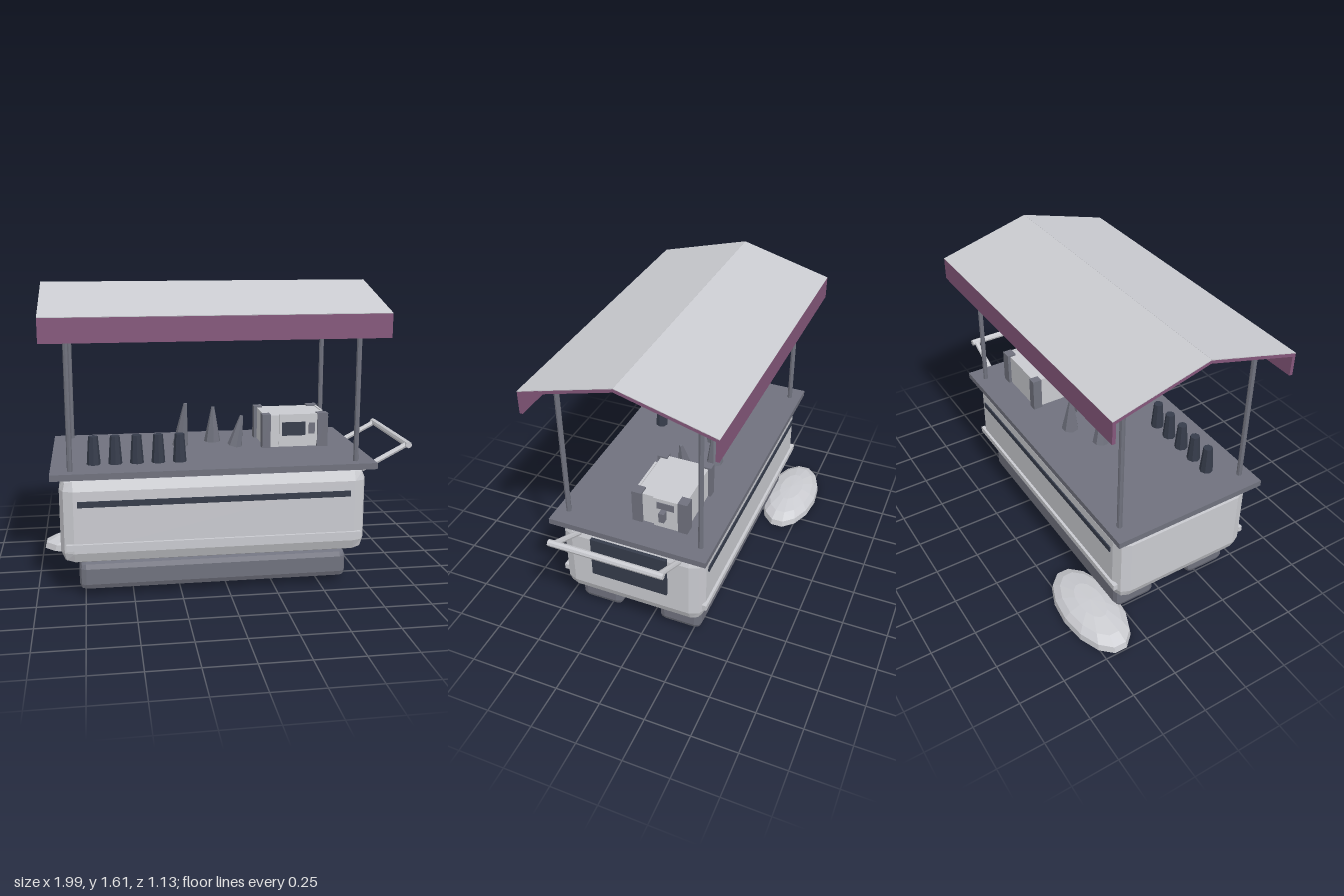
import * as THREE from 'three';
import { RoundedBoxGeometry } from 'three/addons/geometries/RoundedBoxGeometry.js';

const mat = (name, color) => {
  const m = new THREE.MeshStandardMaterial({ color });
  m.name = name;
  return m;
};

export function createModel() {
  const shell = mat('pale grey', 0xcacbd0);
  const slate = mat('slate grey', 0x70727e);
  const navy = mat('dark navy', 0x363c4b);
  const plum = mat('plum', 0x85577b);
  const CX = -0.07, CZ = 0.0575; // centre of the cart

  const root = new THREE.Group();
  root.name = 'marketCart';

  // Faceted mesh
  const add = (name, geo, material, parent = root) => {
    const g = geo.index ? geo.toNonIndexed() : geo;
    g.computeVertexNormals();
    const mesh = new THREE.Mesh(g, material);
    mesh.name = name;
    parent.add(mesh);
    return mesh;
  };
  // Box given by its limits on each axis, optionally bevelled
  const box = (name, material, [x0, x1], [y0, y1], [z0, z1], bevel = 0, parent = root) => {
    const s = [x1 - x0, y1 - y0, z1 - z0];
    const geo = bevel ? new RoundedBoxGeometry(...s, 1, bevel) : new THREE.BoxGeometry(...s);
    const m = add(name, geo, material, parent);
    m.position.set((x0 + x1) / 2, (y0 + y1) / 2, (z0 + z1) / 2);
    return m;
  };
  // Round bar or tapered cone between two points
  const rod = (name, material, a, b, r0, r1 = r0, sides = 8, parent = root) => {
    const p = new THREE.Vector3(...a), q = new THREE.Vector3(...b);
    const d = q.clone().sub(p);
    const m = add(name, new THREE.CylinderGeometry(r1, r0, d.length(), sides), material, parent);
    m.position.copy(p).add(q).multiplyScalar(0.5);
    m.quaternion.setFromUnitVectors(new THREE.Vector3(0, 1, 0), d.normalize());
    return m;
  };

  // Hull, counter and skids
  box('hull', shell, [-0.87, 0.735], [0.188, 0.655], [-0.345, 0.46], 0.07);
  box('counter', slate, [-0.91, 0.77], [0.654, 0.687], [-0.38, 0.495]);
  box('frontSkid', slate, [-0.78, 0.64], [0.035, 0.188], [0.17, 0.415], 0.035);
  box('backSkid', slate, [-0.78, 0.64], [0.035, 0.188], [-0.3, -0.055], 0.035);

  // Stripes and rub rails on both long sides, screen on the end
  for (const s of [1, -1]) {
    const side = s > 0 ? 'front' : 'back';
    const span = (c, half) => [CZ + s * c - half, CZ + s * c + half];
    box(side + 'Stripe', navy, [-0.78, 0.64], [0.503, 0.534], span(0.4045, 0.0045));
    box(side + 'RubRail', shell, [-0.84, 0.7], [0.278, 0.31], span(0.405, 0.012));
  }
  box('endScreen', navy, [0.73, 0.75], [0.36, 0.6], [-0.157, 0.273]);

  // Push handle
  for (const z of [-0.225, 0.34])
    rod('handleArm', shell, [0.735, 0.615, z], [0.982, 0.745, z], 0.015);
  rod('handleGrip', shell, [0.982, 0.745, -0.252], [0.982, 0.745, 0.367], 0.018);

  // Canopy posts
  for (const x of [-0.81, 0.67])
    for (const z of [-0.315, 0.43])
      rod('canopyPost', slate, [x, 0.68, z], [x, 1.456, z], 0.014);

  // Gabled canopy with hanging valances, extruded along x
  const half = 0.508, t = 0.018, eave = 1.466, ridge = 1.604, hem = 1.345;
  const profile = [
    [-half, hem], [-half + t, hem], [-half + t, eave - 0.013], [0, ridge - t],
    [half - t, eave - 0.013], [half - t, hem], [half, hem], [half, eave], [0, ridge], [-half, eave],
  ].map(p => new THREE.Vector2(...p));
  const canopyGeo = new THREE.ExtrudeGeometry(new THREE.Shape(profile), { depth: 1.73, bevelEnabled: false });
  canopyGeo.rotateY(Math.PI / 2);
  add('canopy', canopyGeo, plum).position.set(-0.935, 0, CZ);

  // Pale cloth on the two slopes
  const rise = ridge - eave, slope = Math.atan2(rise, half);
  for (const s of [1, -1]) {
    const cloth = add('canopyCloth', new THREE.BoxGeometry(1.73, 0.004, Math.hypot(half, rise)), shell);
    cloth.position.set(CX, (ridge + eave) / 2 + 0.001, CZ + s * half / 2);
    cloth.rotation.x = s * slope;
  }

  // Row of cups
  for (let i = 0; i < 5; i++) {
    const x = -0.69 + i * 0.1115;
    rod('cup', navy, [x, 0.687, 0.305], [x, 0.835, 0.305], 0.036, 0.025, 8);
  }

  // Slim cones standing on the counter, two of them leaning
  rod('cone', slate, [-0.205, 0.685, -0.045], [-0.178, 0.932, -0.014], 0.045, 0.01, 7);
  rod('cone', slate, [-0.012, 0.685, -0.125], [-0.01, 0.888, -0.115], 0.048, 0.009, 7);
  rod('cone', slate, [0.097, 0.69, 0.012], [0.133, 0.86, 0.02], 0.043, 0.01, 7);

  // Countertop machine
  const machine = new THREE.Group();
  machine.name = 'machine';
  root.add(machine);
  const part = (name, m, x, y, z) => box(name, m, x, y, z, 0, machine);
  part('machineBody', shell, [0.255, 0.595], [0.687, 0.866], [-0.2, 0.072]);
  for (const x of [[0.238, 0.285], [0.55, 0.61]])
    for (const z of [[0.035, 0.09], [-0.217, -0.165]])
      part('machineCorner', slate, x, [0.687, 0.875], z);
  part('machineFrame', shell, [0.335, 0.55], [0.7, 0.872], [0.07, 0.082]);
  part('machineWindow', navy, [0.35, 0.482], [0.752, 0.828], [0.08, 0.087]);
  part('machineButtons', slate, [0.502, 0.536], [0.76, 0.822], [0.08, 0.087]);
  part('machineEndPlate', shell, [0.595, 0.608], [0.69, 0.87], [-0.165, -0.03]);
  part('machineEndPanel', slate, [0.606, 0.612], [0.81, 0.85], [-0.145, -0.05]);
  part('machineSpout', slate, [0.622, 0.658], [0.765, 0.82], [-0.11, -0.08]);
  part('machineSpoutArm', slate, [0.6, 0.63], [0.785, 0.8], [-0.102, -0.088]);

  // Shallow dome lying on the ground behind
  const dome = [[0, 0], [1, 0], [0.97, 0.38], [0.78, 0.7], [0.42, 0.94], [0, 1]]
    .map(p => new THREE.Vector2(...p));
  const domeGeo = new THREE.LatheGeometry(dome, 14);
  domeGeo.scale(0.312, 0.092, 0.16);
  add('groundDome', domeGeo, shell).position.set(-0.688, 0, -0.406);

  return root;
}
